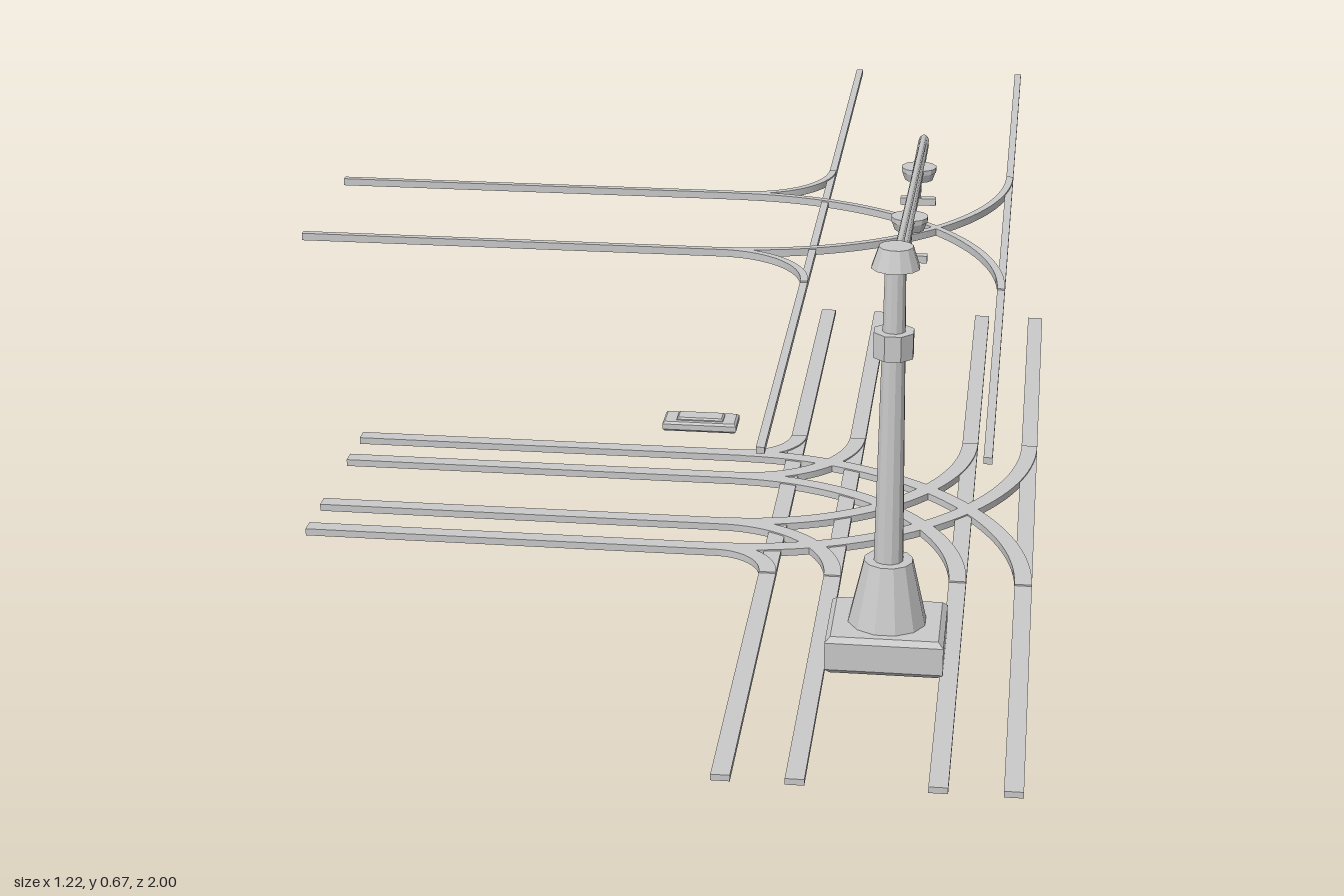
import * as THREE from 'three';

const grey = new THREE.MeshStandardMaterial({ color: 0xcacaca });
grey.name = 'lightGrey';

const GAUGE = 0.053;            // half distance between the rails of a track
const RAIL = 0.028, WIRE = 0.012;
const BEND = { x: 0.084, z: 0.302 }; // centre shared by the curves on each side
const POLE = { x: 0.388, z: 0.57 };

function add(parent, geometry, name, x = 0, y = 0, z = 0) {
  const mesh = new THREE.Mesh(geometry, grey);
  mesh.name = name;
  mesh.position.set(x, y, z);
  parent.add(mesh);
  return mesh;
}

// Flat-sided turned part
function turned(parent, name, rTop, rBottom, y0, y1, sides, x, z) {
  const g = new THREE.CylinderGeometry(rTop, rBottom, y1 - y0, sides).rotateY(Math.PI / sides).toNonIndexed();
  g.computeVertexNormals();
  return add(parent, g, name, x, (y0 + y1) / 2, z);
}

// Quarter bend lying flat; side -1 is the back, +1 the front
function bend(radius, width, height, side) {
  const s = new THREE.Shape();
  const a0 = side < 0 ? -Math.PI / 2 : 0, a1 = a0 + Math.PI / 2;
  s.absarc(0, 0, radius + width / 2, a0, a1, false);
  s.absarc(0, 0, radius - width / 2, a1, a0, true);
  return new THREE.ExtrudeGeometry(s, { depth: height, bevelEnabled: false, curveSegments: 20 }).rotateX(-Math.PI / 2);
}

// Straight and curved lines of one network, shared by rails and wires
function network(parent, name, offsets, width, y, height) {
  for (const o of offsets) {
    for (const x of [0.231, 0.54])
      add(parent, new THREE.BoxGeometry(width, height * 0.8, 2), name + 'Through', x + o, y + height * 0.4, 0);
    for (const side of [-1, 1]) {
      add(parent, new THREE.BoxGeometry(0.694, height, width), name + 'Branch', -0.263, y + height / 2, side * 0.155 + o);
      for (const r of [0.147, 0.456])
        add(parent, bend(r + o, width, height, side), name + 'Bend', BEND.x, y, side * BEND.z);
    }
  }
}

// Box with chamfered edges
function slopedBlock(w, h, d, inset) {
  const s = new THREE.Shape();
  const a = w / 2 - inset, b = d / 2 - inset;
  s.moveTo(-a, -b); s.lineTo(a, -b); s.lineTo(a, b); s.lineTo(-a, b); s.closePath();
  return new THREE.ExtrudeGeometry(s, {
    depth: h - 2 * inset, bevelEnabled: true, bevelSegments: 1, bevelSize: inset, bevelThickness: inset,
  }).rotateX(-Math.PI / 2).translate(0, inset, 0);
}

// Straight rod in the plane of the arm
function rod(parent, name, z0, y0, z1, y1, r) {
  const m = add(parent, new THREE.CylinderGeometry(r, r, Math.hypot(z1 - z0, y1 - y0), 8),
    name, POLE.x, (y0 + y1) / 2, (z0 + z1) / 2);
  m.rotation.x = Math.atan2(z1 - z0, y1 - y0);
}

export function createModel() {
  const model = new THREE.Group();
  model.name = 'tramJunction';

  const rails = new THREE.Group();
  rails.name = 'rails';
  network(rails, 'rail', [-GAUGE, GAUGE], RAIL, 0, 0.012);
  const wires = new THREE.Group();
  wires.name = 'overheadWires';
  network(wires, 'wire', [0], WIRE, 0.503, 0.012);

  // Pole on its plinth
  const pole = new THREE.Group();
  pole.name = 'pole';
  const { x, z } = POLE;
  add(pole, slopedBlock(0.18, 0.06, 0.16, 0.008), 'plinth', x, 0.004, z);
  turned(pole, 'foot', 0.038, 0.062, 0.06, 0.165, 12, x, z);
  turned(pole, 'shaft', 0.016, 0.023, 0.16, 0.64, 12, x, z);
  turned(pole, 'collar', 0.032, 0.032, 0.495, 0.535, 8, x, z);
  turned(pole, 'cap', 0.026, 0.037, 0.634, 0.667, 12, x, z);

  // Arm with tie rod and brace
  const arm = new THREE.Group();
  arm.name = 'arm';
  rod(arm, 'tieRod', 0.56, 0.643, -0.32, 0.575, 0.006);
  rod(arm, 'upperBeam', 0.57, 0.601, -0.32, 0.571, 0.009);
  rod(arm, 'lowerBeam', 0.57, 0.592, -0.32, 0.562, 0.009);
  rod(arm, 'brace', 0.565, 0.513, 0.31, 0.586, 0.008);

  // Wire hangers with ribbed insulators
  for (const hz of [-0.155, 0.155]) {
    const top = hz < 0 ? 0.572 : 0.582;
    turned(arm, 'insulator', 0.03, 0.03, top - 0.008, top, 12, x, hz);
    turned(arm, 'insulatorSkirt', 0.029, 0.024, top - 0.022, top - 0.008, 12, x, hz);
    turned(arm, 'hangerStem', 0.005, 0.005, 0.51, top - 0.02, 8, x, hz);
    add(arm, new THREE.BoxGeometry(0.06, 0.012, 0.014), 'hangerBar', x, 0.511, hz);
  }

  // Ground box beside the tracks
  const box = new THREE.Group();
  box.name = 'groundBox';
  add(box, slopedBlock(0.135, 0.018, 0.06, 0.004), 'boxBody', -0.006, 0.004, -0.343);
  add(box, slopedBlock(0.085, 0.01, 0.036, 0.003), 'boxLid', -0.006, 0.017, -0.343);

  model.add(rails, wires, pole, arm, box);
  return model;
}
